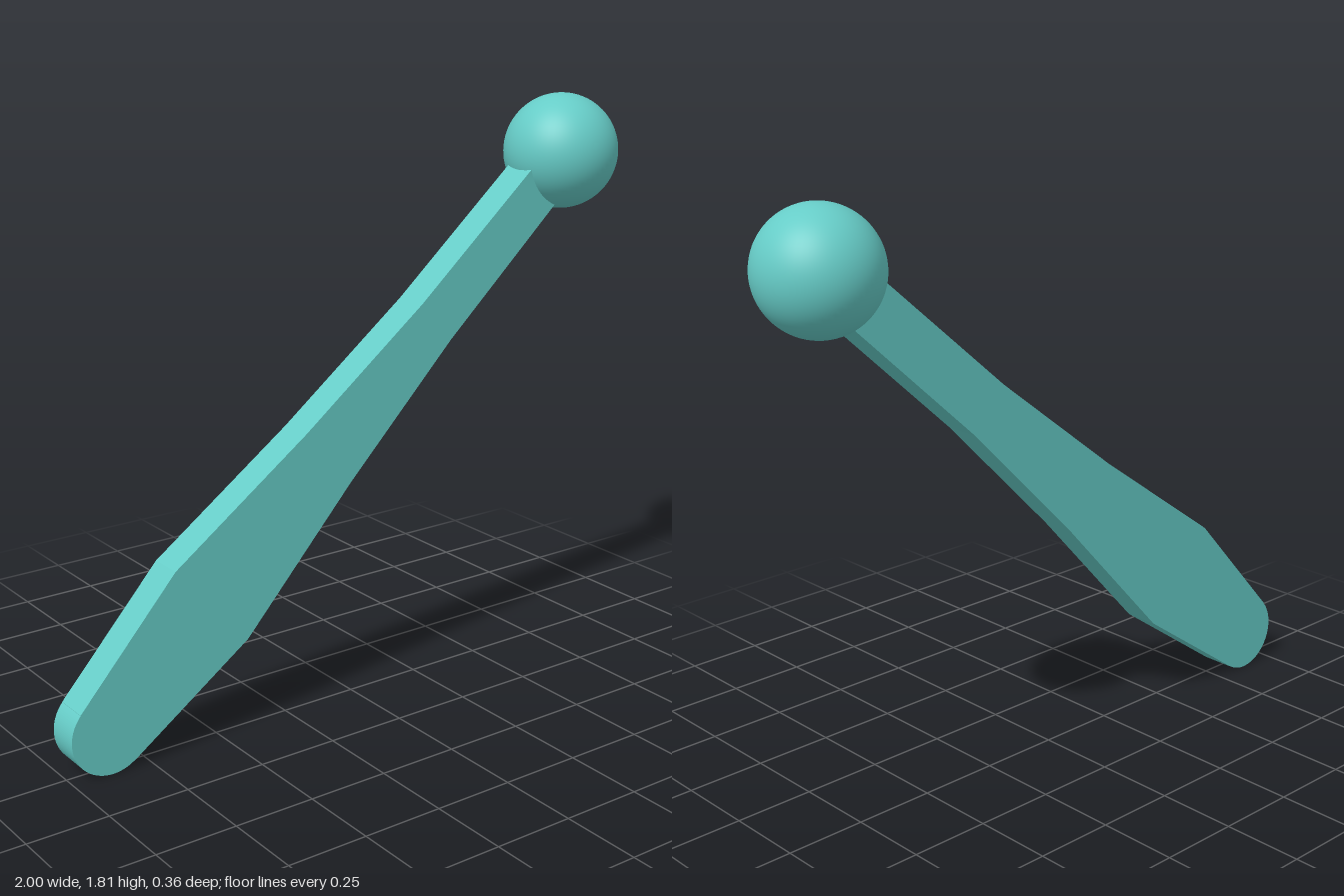
import * as THREE from 'three';

export function createModel() {
  const model = new THREE.Group();
  const material = new THREE.MeshStandardMaterial({ color: 0x66ccc7 });

  // Flat paddle-shaped handle, drawn along +x from its rounded end
  const radius = 0.126, depth = 0.11;
  const profile = [[0.46, 0.18], [1.015, 0.121], [1.555, 0.085], [2.2, 0.077]];
  const shape = new THREE.Shape();
  shape.moveTo(-0.015, -radius);
  profile.forEach(([u, v]) => shape.lineTo(u, -v));
  [...profile].reverse().forEach(([u, v]) => shape.lineTo(u, v));
  shape.lineTo(-0.015, radius);
  shape.absarc(0, 0, radius, Math.PI * 0.54, Math.PI * 1.46, false);

  const handleGeometry = new THREE.ExtrudeGeometry(shape, { depth, bevelEnabled: false, curveSegments: 32 });
  handleGeometry.translate(0, 0, -depth / 2);
  const handle = new THREE.Mesh(handleGeometry, material);
  handle.name = 'handle';
  handle.position.set(-0.874, 0.127, -0.009);
  handle.rotation.set(0, -0.003, Math.atan2(1.503, 1.689), 'ZYX');
  model.add(handle);

  // Ball at the narrow end
  const ball = new THREE.Mesh(new THREE.SphereGeometry(0.18, 64, 40), material);
  ball.name = 'ball';
  ball.position.set(0.82, 1.63, 0);
  model.add(ball);

  return model;
}
